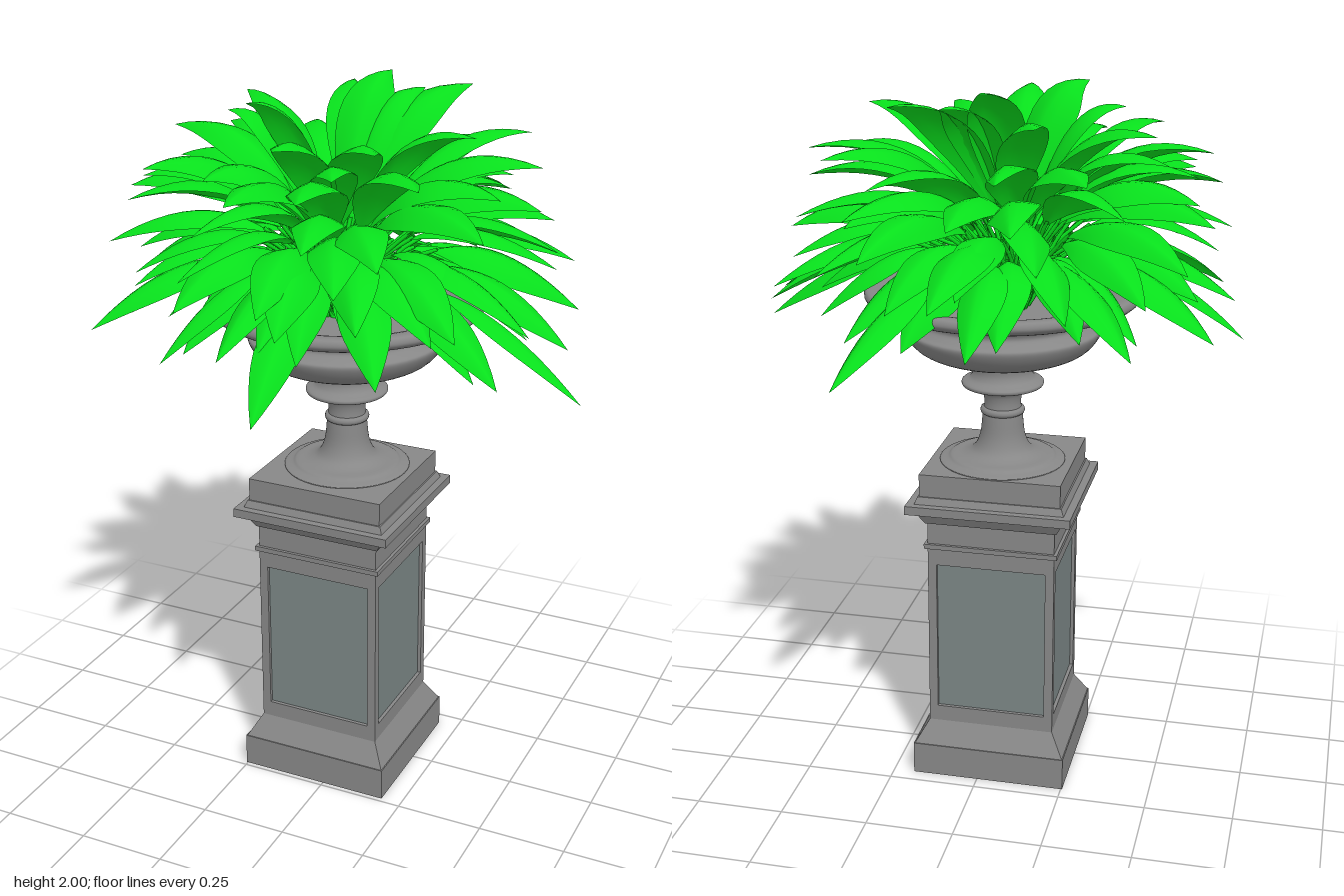
import * as THREE from 'three';
import { mergeGeometries } from 'three/addons/utils/BufferGeometryUtils.js';

const stone = new THREE.MeshStandardMaterial({ color: 0x878787, flatShading: true });
const urnStone = new THREE.MeshStandardMaterial({ color: 0x878787, side: THREE.DoubleSide });
const panelStone = new THREE.MeshStandardMaterial({ color: 0x7a8584 });
const leafGreen = new THREE.MeshStandardMaterial({ color: 0x08e01c, side: THREE.DoubleSide });

function seeded(seed) {
  return () => {
    seed = (seed * 16807) % 2147483647;
    return seed / 2147483647;
  };
}

function part(name, geometry, material, parent) {
  const mesh = new THREE.Mesh(geometry, material);
  mesh.name = name;
  parent.add(mesh);
  return mesh;
}

// Square block from y0 to y1 with half-widths h0 (bottom) and h1 (top)
function block(name, y0, y1, h0, h1, parent) {
  const g = new THREE.CylinderGeometry(h1 * Math.SQRT2, h0 * Math.SQRT2, y1 - y0, 4);
  g.rotateY(Math.PI / 4);
  g.translate(0, (y0 + y1) / 2, 0);
  return part(name, g, stone, parent);
}

function buildPedestal() {
  const pedestal = new THREE.Group();
  pedestal.name = 'pedestal';
  [
    ['plinth', 0, 0.095, 0.222, 0.222],
    ['plinthSlope', 0.095, 0.16, 0.219, 0.182],
    ['shaftCore', 0.16, 0.71, 0.168, 0.168],
    ['neckBead', 0.708, 0.722, 0.191, 0.191],
    ['neck', 0.722, 0.785, 0.182, 0.182],
    ['corniceCove', 0.785, 0.825, 0.188, 0.21],
    ['corniceSlab', 0.825, 0.85, 0.234, 0.234],
    ['corniceSlope', 0.85, 0.87, 0.212, 0.204],
    ['capBlock', 0.87, 0.935, 0.2, 0.2],
  ].forEach(([name, y0, y1, h0, h1]) => block(name, y0, y1, h0, h1, pedestal));

  // Framed, sunken panel on each side
  const frame = new THREE.Shape();
  frame.moveTo(-0.182, 0.16).lineTo(0.182, 0.16).lineTo(0.182, 0.71).lineTo(-0.182, 0.71).closePath();
  const opening = new THREE.Path();
  opening.moveTo(-0.157, 0.207).lineTo(-0.157, 0.657).lineTo(0.157, 0.657).lineTo(0.157, 0.207).closePath();
  frame.holes.push(opening);
  const frameGeo = new THREE.ExtrudeGeometry(frame, { depth: 0.016, bevelEnabled: false });
  frameGeo.translate(0, 0, 0.166);
  const panelGeo = new THREE.BoxGeometry(0.314, 0.45, 0.008).translate(0, 0.432, 0.168);
  for (let i = 0; i < 4; i++) {
    part('panelFrame', frameGeo, stone, pedestal).rotation.y = i * Math.PI / 2;
    part('panel', panelGeo, panelStone, pedestal).rotation.y = i * Math.PI / 2;
  }
  return pedestal;
}

// Lathe from a smooth curve through [radius, height] points
function turned(name, points, steps, parent) {
  const curve = new THREE.CatmullRomCurve3(points.map(([r, y]) => new THREE.Vector3(r, y, 0)), false, 'centripetal');
  const profile = curve.getPoints(steps).map((p) => new THREE.Vector2(Math.max(p.x, 0), p.y));
  return part(name, new THREE.LatheGeometry(profile, 48), urnStone, parent);
}

function buildUrn() {
  const urn = new THREE.Group();
  urn.name = 'urn';
  turned('foot', [[0.178, 0.934], [0.178, 0.938], [0.155, 0.945], [0.145, 0.951], [0.11, 0.956], [0.083, 0.97],
    [0.065, 1.005], [0.056, 1.075]], 32, urn);
  part('stemBead', new THREE.TorusGeometry(0.052, 0.011, 10, 40).rotateX(Math.PI / 2).translate(0, 1.083, 0), urnStone, urn);
  turned('stemFlare', [[0.054, 1.08], [0.052, 1.115], [0.06, 1.14], [0.085, 1.152], [0.113, 1.158],
    [0.115, 1.168], [0.092, 1.18], [0.082, 1.2], [0.085, 1.232]], 32, urn);
  turned('bowl', [[0, 1.228], [0.1, 1.231], [0.18, 1.245], [0.24, 1.272], [0.268, 1.305], [0.275, 1.328],
    [0.262, 1.338], [0.246, 1.355], [0.255, 1.375], [0.3, 1.39], [0.36, 1.402], [0.381, 1.42],
    [0.375, 1.438], [0.34, 1.438], [0.28, 1.415], [0.24, 1.385]], 70, urn);
  part('bowlFloor', new THREE.CylinderGeometry(0.255, 0.255, 0.01, 48).translate(0, 1.375, 0), urnStone, urn);
  return urn;
}

// Arched blade along the outer part of a stem curve, with a raised midrib
function bladeGeometry(curve, start, halfWidth, roll) {
  const ROWS = 12, COLS = 6, pos = [], index = [];
  const flat = new THREE.Vector3(curve.v2.x - curve.v0.x, 0, curve.v2.z - curve.v0.z).normalize();
  const across = new THREE.Vector3(flat.z, 0, -flat.x);
  for (let i = 0; i <= ROWS; i++) {
    const u = i / ROWS;
    const t = start + (1 - start) * u;
    const mid = curve.getPoint(t), tangent = curve.getTangent(t);
    const side = across.clone().applyAxisAngle(tangent, roll);
    const up = new THREE.Vector3().crossVectors(tangent, side).normalize();
    const w = halfWidth * Math.pow(Math.max(Math.sin(Math.PI * u), 0), 0.9) + 0.002 * (1 - u);
    for (let j = 0; j <= COLS; j++) {
      const s = (j / COLS) * 2 - 1;
      const p = mid.clone().addScaledVector(side, s * w * 0.95).addScaledVector(up, -0.45 * w * Math.pow(Math.abs(s), 1.4));
      pos.push(p.x, p.y, p.z);
      if (i < ROWS && j < COLS) {
        const a = i * (COLS + 1) + j, b = a + COLS + 1;
        index.push(a, b, a + 1, a + 1, b, b + 1);
      }
    }
  }
  const g = new THREE.BufferGeometry();
  g.setAttribute('position', new THREE.Float32BufferAttribute(pos, 3));
  g.setIndex(index);
  g.computeVertexNormals();
  return g;
}

function buildPlant() {
  const plant = new THREE.Group();
  plant.name = 'plant';
  const rand = seeded(4217);
  const jitter = (a) => (rand() * 2 - 1) * a;
  const blades = [], stems = [];

  // One leaf: the stem rises from the centre and bends over; low leaves droop more and start further out
  function leaf(x, y, z) {
    const tip = new THREE.Vector3(x, y, z);
    const root = new THREE.Vector3(-0.06 + jitter(0.03), 1.37, jitter(0.03));
    const bend = root.clone().lerp(tip, 0.44 - 0.25 * (y - 1.3));
    bend.y = y + 0.03 + 0.53 * (2 - y);
    const curve = new THREE.QuadraticBezierCurve3(root, bend, tip);
    const start = 0.46 - 0.36 * (y - 1.3);
    const halfWidth = (0.066 + 0.012 * (y - 1.3)) * (1 + jitter(0.1));
    blades.push(bladeGeometry(curve, start, halfWidth, jitter(0.4)));
    const stalk = new THREE.CatmullRomCurve3([0, 0.33, 0.67, 1].map((k) => curve.getPoint(k * (start + 0.03))));
    stems.push(new THREE.TubeGeometry(stalk, 8, 0.006, 5));
  }

  // Tips of the longest leaves, around the outline
  [
    [0.69, 1.28, 0.13], [0.62, 1.39, 0.04], [0.57, 1.47, 0.21], [0.53, 1.36, 0.32], [0.45, 1.5, 0.41],
    [0.3, 1.4, 0.54], [0.17, 1.6, 0.5], [0.05, 1.5, 0.58], [0, 1.28, 0.62], [-0.12, 1.42, 0.57],
    [-0.24, 1.6, 0.54], [-0.34, 1.35, 0.48], [-0.46, 1.52, 0.39], [-0.6, 1.38, 0.4], [-0.63, 1.58, 0.24],
    [-0.69, 1.31, 0.06], [-0.67, 1.45, -0.06], [-0.62, 1.67, -0.19], [-0.64, 1.4, -0.31], [-0.58, 1.6, -0.42],
    [-0.46, 1.4, -0.51], [-0.24, 1.62, -0.59], [-0.07, 1.4, -0.61], [0.02, 1.52, -0.62], [0.27, 1.31, -0.63],
    [0.2, 1.63, -0.6], [0.28, 1.7, -0.46], [0.5, 1.5, -0.37], [0.57, 1.42, -0.2], [0.54, 1.6, -0.1],
  ].forEach((tip) => leaf(...tip));

  // Filling tiers between the outline and the crown
  [
    { count: 15, radius: 0.51, y: 1.38 },
    { count: 14, radius: 0.55, y: 1.52 },
    { count: 13, radius: 0.57, y: 1.68 },
    { count: 13, radius: 0.54, y: 1.81 },
  ].forEach(({ count, radius, y }, tier) => {
    for (let i = 0; i < count; i++) {
      const a = ((i + tier * 0.5 + jitter(0.3)) / count) * Math.PI * 2;
      const r = radius * (1 + jitter(0.08));
      leaf(-0.04 + Math.cos(a) * r, y + jitter(0.05), Math.sin(a) * r);
    }
  });

  // Tips of the upright crown leaves
  [
    [-0.03, 2, -0.3], [0.07, 1.96, -0.3], [-0.23, 1.98, 0.18], [0.17, 1.9, 0.26], [0.36, 1.92, 0.06],
    [-0.02, 1.93, 0.44], [0.19, 1.97, -0.35], [-0.48, 1.91, -0.29], [-0.6, 1.84, -0.08], [-0.35, 1.93, 0.06],
    [-0.2, 1.94, -0.42], [0.1, 1.85, 0.36], [-0.25, 1.82, 0.38],
  ].forEach((tip) => leaf(...tip));

  part('leaves', mergeGeometries(blades), leafGreen, plant);
  part('stems', mergeGeometries(stems), leafGreen, plant);
  return plant;
}

export function createModel() {
  const model = new THREE.Group();
  model.name = 'pottedPlantOnPedestal';
  const pedestal = buildPedestal(), urn = buildUrn();
  pedestal.position.set(-0.032, 0, 0.015);
  urn.position.set(-0.03, 0, -0.002);
  model.add(pedestal, urn, buildPlant());
  return model;
}
